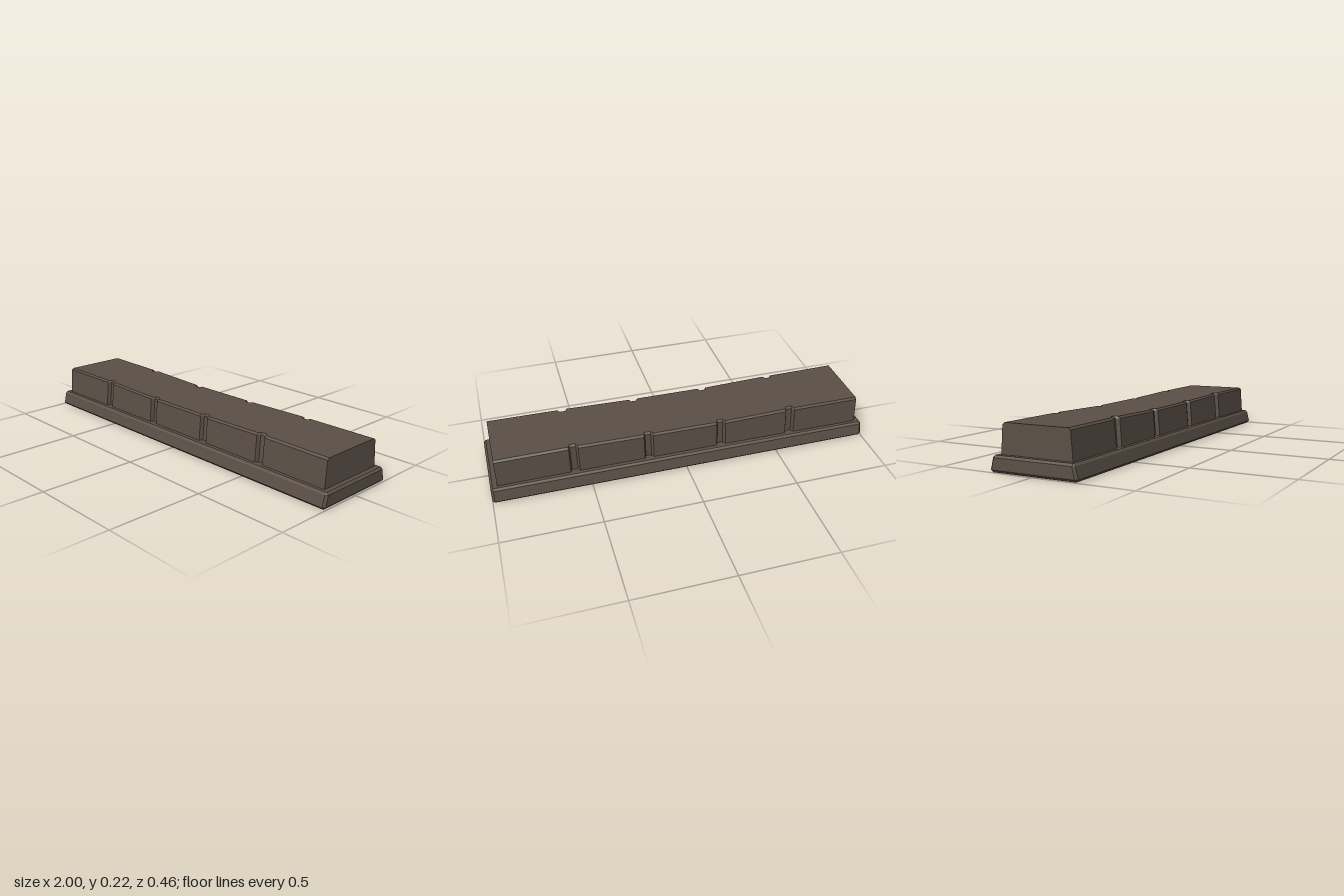
import * as THREE from 'three';

// Skin a stack of equal-length rings (counter-clockwise seen from the last ring) and cap both ends
function loft(rings) {
  const pos = [];
  const tri = (a, b, c) => pos.push(...a, ...b, ...c);
  const n = rings[0].length;
  for (let i = 0; i < rings.length - 1; i++) {
    const lo = rings[i], hi = rings[i + 1];
    for (let j = 0; j < n; j++) {
      const k = (j + 1) % n;
      tri(lo[j], lo[k], hi[k]);
      tri(lo[j], hi[k], hi[j]);
    }
  }
  const first = rings[0], last = rings[rings.length - 1];
  for (let j = 1; j < n - 1; j++) {
    tri(first[0], first[j + 1], first[j]);
    tri(last[0], last[j], last[j + 1]);
  }
  const g = new THREE.BufferGeometry();
  g.setAttribute('position', new THREE.Float32BufferAttribute(pos, 3));
  g.computeVertexNormals();
  return g;
}

// Horizontal rectangle with cut corners
function plinthRing(y, x, z, c) {
  return [
    [x, y, z - c], [x, y, -z + c], [x - c, y, -z], [-x + c, y, -z],
    [-x, y, -z + c], [-x, y, z - c], [-x + c, y, z], [x - c, y, z],
  ];
}

// Tapered cross-section of the upper block, narrowed by inset
function blockRing(x, top, inset) {
  const half = [[0.07, 0.188], [top - 0.009, 0.177], [top, 0.166]];
  const right = half.map(([y, z]) => [x, y, -(z - inset)]);
  const left = half.map(([y, z]) => [x, y, z - inset]).reverse();
  return [...right, ...left];
}

export function createModel() {
  const group = new THREE.Group();
  const stone = new THREE.MeshStandardMaterial({ color: 0x5a4f46, flatShading: true });
  stone.name = 'dark brown stone';
  const add = (name, geometry) => {
    const mesh = new THREE.Mesh(geometry, stone);
    mesh.name = name;
    group.add(mesh);
  };

  // Bevelled plinth
  add('plinth', loft([
    plinthRing(0, 0.989, 0.217, 0.0005),
    plinthRing(0.012, 1, 0.228, 0.011),
    plinthRing(0.068, 1, 0.214, 0.011),
    plinthRing(0.078, 0.989, 0.203, 0.0005),
  ]));

  // Upper block: slightly sagging in the middle, with four notches down each side
  const notches = [
    { x: -0.583, top: 0.220, inset: 0.003 },
    { x: -0.198, top: 0.212, inset: 0.005 },
    { x: 0.19, top: 0.214, inset: 0.005 },
    { x: 0.575, top: 0.221, inset: 0.003 },
  ];
  const rings = [blockRing(-0.966, 0.221, 0)];
  for (const { x, top, inset } of notches) {
    for (const [dx, depth] of [[-0.024, 0], [-0.015, 0.018], [0.015, 0.018], [0.024, 0]]) {
      rings.push(blockRing(x + dx, top, inset + depth));
    }
  }
  rings.push(blockRing(0.966, 0.222, 0));
  add('notchedBlock', loft(rings));

  return group;
}
